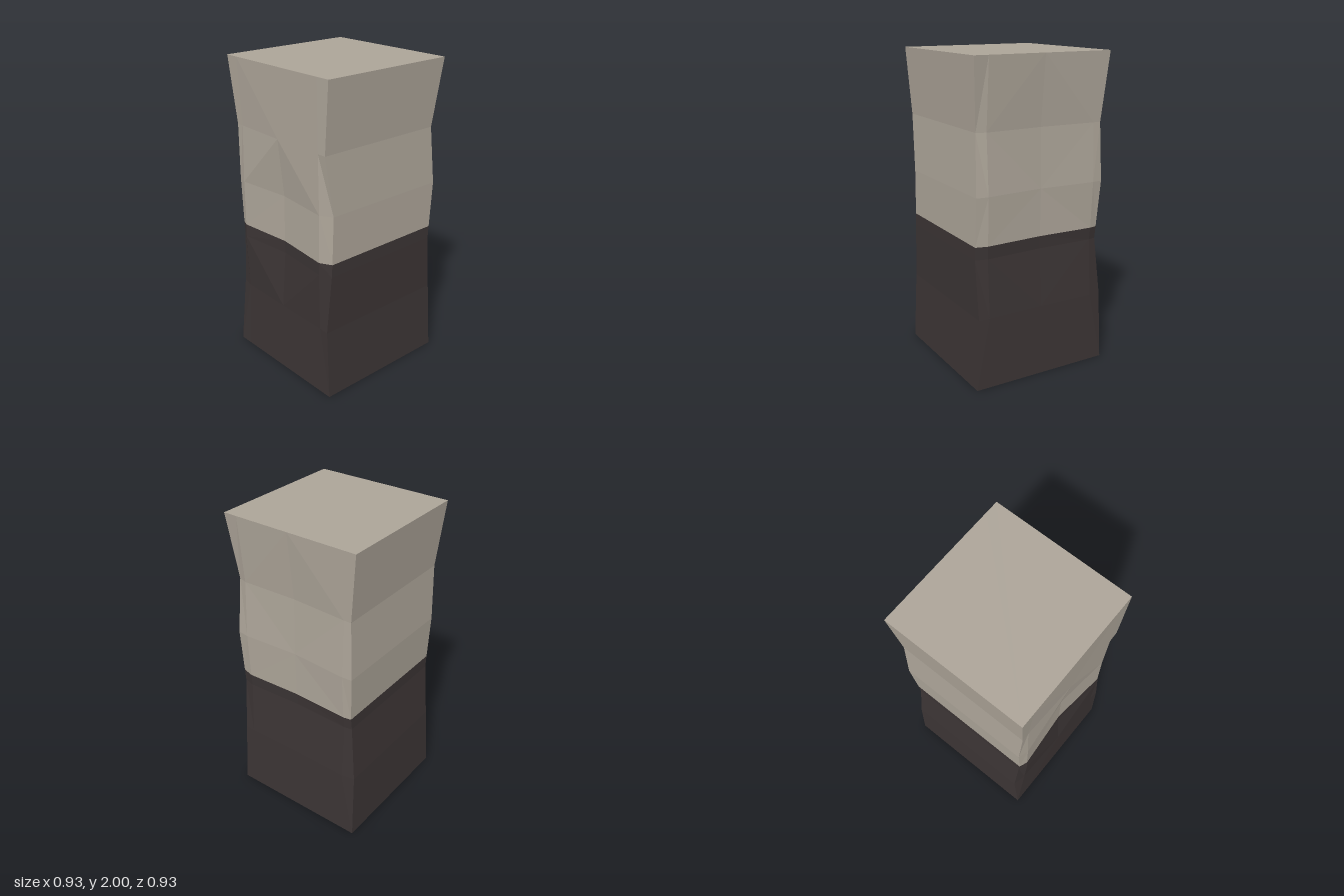
import * as THREE from 'three';

// Rings from top to bottom: height, left and right x, then front and back depth
// at five columns running from -x to +x
const rings = [
  { y: 2.00, l: -0.463, r: 0.463, f: [0.463, 0.463, 0.463, 0.463, 0.463], b: [0.463, 0.463, 0.463, 0.463, 0.463] },
  { y: 1.57, l: -0.42, r: 0.43, f: [0.44, 0.44, 0.455, 0.46, 0.46], b: [0.44, 0.44, 0.42, 0.43, 0.41] },
  { y: 1.20, l: -0.435, r: 0.445, f: [0.43, 0.45, 0.415, 0.455, 0.41], b: [0.45, 0.455, 0.43, 0.45, 0.44] },
  { y: 0.90, l: -0.42, r: 0.445, f: [0.43, 0.45, 0.42, 0.46, 0.42], b: [0.43, 0.44, 0.425, 0.44, 0.42] },
  { y: 0.82, l: -0.42, r: 0.445, f: [0.425, 0.455, 0.42, 0.46, 0.425], b: [0.42, 0.43, 0.42, 0.435, 0.415] },
  { y: 0.45, l: -0.455, r: 0.44, f: [0.42, 0.44, 0.45, 0.455, 0.46], b: [0.44, 0.455, 0.45, 0.455, 0.45] },
  { y: 0.00, l: -0.463, r: 0.463, f: [0.463, 0.463, 0.463, 0.463, 0.463], b: [0.463, 0.463, 0.463, 0.463, 0.463] },
];

// Ten points around a ring, counter-clockwise seen from above
function ringPoints({ y, l, r, f, b }) {
  const xs = [l, -0.37, 0, 0.37, r];
  const front = xs.map((x, i) => [x, y, f[i]]);
  const back = xs.map((x, i) => [x, y, -b[i]]).reverse();
  return [...front, ...back];
}

// Which way the facets of each band are split, on the front and the back
const frontFan = [false, true, true, true, false, true];
const backFan = [true, false, true, true, false, true];

// Faceted shell between two rings, closed by a flat cap at one end
function blockGeometry(first, last, capTop) {
  const pos = [];
  const tri = (a, b, c) => pos.push(...a, ...b, ...c);
  for (let k = first; k < last; k++) {
    const top = ringPoints(rings[k]);
    const low = ringPoints(rings[k + 1]);
    for (let i = 0; i < 10; i++) {
      const j = (i + 1) % 10;
      const fan = i < 5 ? frontFan[k] : backFan[k];
      const firstHalf = i % 5 < 2;
      // the diagonal mirrors about the middle column
      if (fan === firstHalf) {
        tri(top[i], low[i], top[j]);
        tri(top[j], low[i], low[j]);
      } else {
        tri(top[i], low[i], low[j]);
        tri(top[i], low[j], top[j]);
      }
    }
  }
  const cap = ringPoints(rings[capTop ? first : last]);
  for (let i = 1; i < 9; i++) {
    if (capTop) tri(cap[0], cap[i], cap[i + 1]);
    else tri(cap[0], cap[i + 1], cap[i]);
  }
  const g = new THREE.BufferGeometry();
  g.setAttribute('position', new THREE.Float32BufferAttribute(pos, 3));
  g.computeVertexNormals();
  return g;
}

export function createModel() {
  const group = new THREE.Group();
  group.name = 'stonePillar';

  const paleStone = new THREE.MeshStandardMaterial({ color: 0xaca498 });
  paleStone.name = 'paleStone';
  const darkStone = new THREE.MeshStandardMaterial({ color: 0x3b3434 });
  darkStone.name = 'darkStone';

  // Pale upper block
  const upper = new THREE.Mesh(blockGeometry(0, 3, true), paleStone);
  upper.name = 'upperBlock';

  // Dark lower block
  const lower = new THREE.Mesh(blockGeometry(3, 6, false), darkStone);
  lower.name = 'lowerBlock';

  group.add(upper, lower);
  return group;
}
